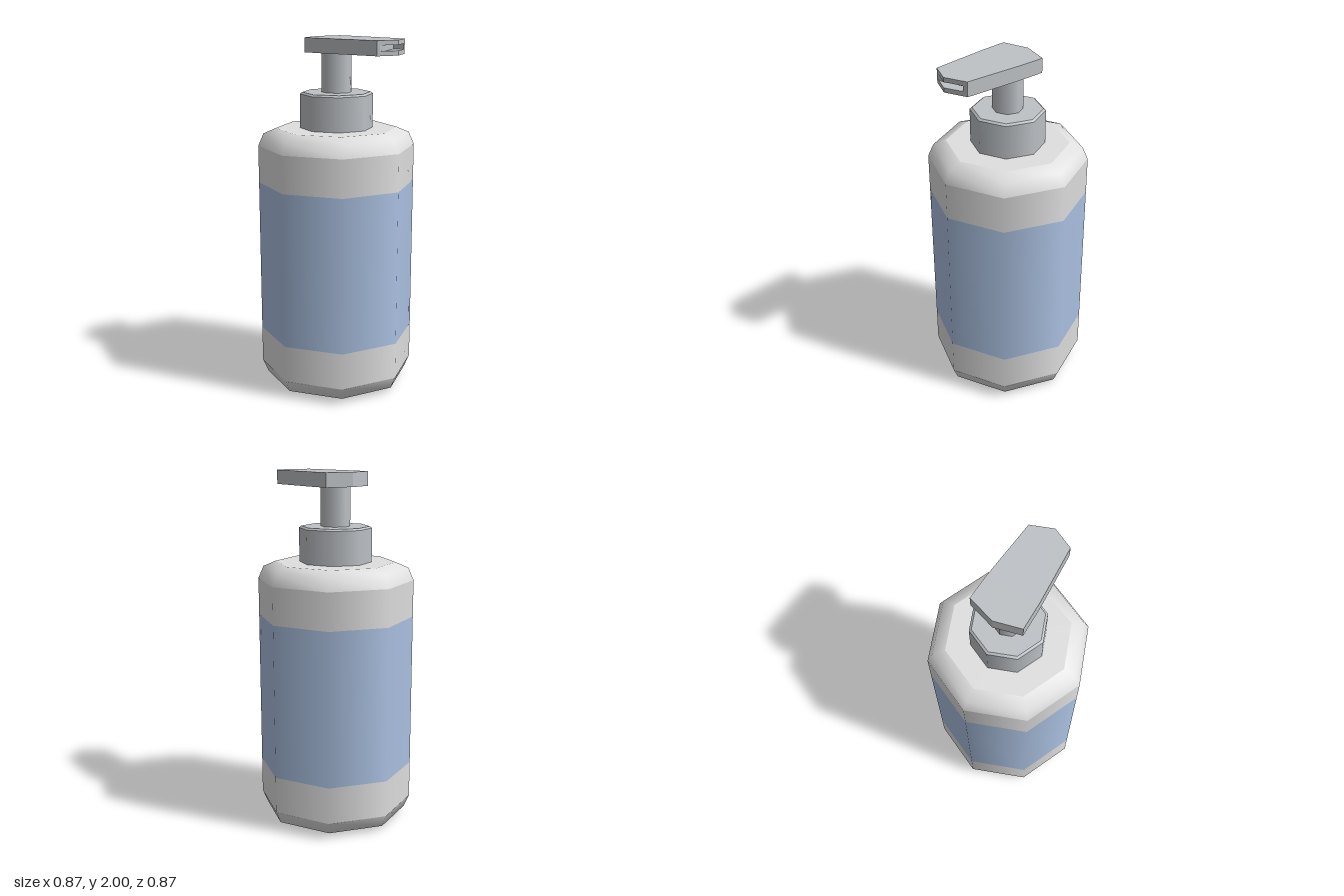
import * as THREE from 'three';

const body = new THREE.MeshStandardMaterial({ name: 'bottle white', color: 0xe0e0e0 });
const label = new THREE.MeshStandardMaterial({ name: 'label blue', color: 0xacc2e3 });
const pump = new THREE.MeshStandardMaterial({ name: 'pump grey', color: 0xbec2c6 });

const SIDES = 8;
const TURN = -0.147; // the whole bottle is turned slightly about its axis

export function createModel() {
  const model = new THREE.Group();
  model.name = 'pumpBottle';

  // Each ring is its own lathe, listed from bottom to top, so its edges stay crisp
  const ring = (name, material, ...profile) => {
    const points = profile.map(([r, y]) => new THREE.Vector2(r, y));
    const mesh = new THREE.Mesh(new THREE.LatheGeometry(points, SIDES, TURN), material);
    mesh.name = name;
    model.add(mesh);
  };

  // Bottle
  const R = 0.442;
  ring('bottleBase', body, [0, 0], [0.34, 0]);
  ring('bottleFoot', body, [0.34, 0], [0.412, 0.03], [R, 0.1]);
  ring('lowerWall', body, [R, 0.1], [R, 0.31]);
  ring('labelBand', label, [R, 0.31], [R, 1.19]);
  ring('upperWall', body, [R, 1.19], [R, 1.4]);
  ring('bottleShoulder', body, [R, 1.4], [0.412, 1.47], [0.34, 1.5]);
  ring('bottleTop', body, [0.34, 1.5], [0, 1.5]);

  // Collar and stem
  ring('collarWall', pump, [0.205, 1.5], [0.205, 1.69]);
  ring('collarBevel', pump, [0.205, 1.69], [0.192, 1.7]);
  ring('collarTop', pump, [0.192, 1.7], [0, 1.7]);
  ring('stem', pump, [0.083, 1.7], [0.083, 1.92]);

  // Pump head in three layers; the middle one is notched to form the spout slot
  const back = [[0.355, 0.17], [0.03, 0.148], [-0.125, 0.13], [-0.145, -0.02], [-0.08, -0.165], [0.06, -0.14], [0.39, -0.065]];
  const whole = [...back, [0.422, 0.063]];
  const notched = [...back, [0.396, -0.04], [0.34, -0.03], [0.372, 0.12], [0.364, 0.155]];
  const head = new THREE.Group();
  head.name = 'pumpHead';
  const layer = (name, outline, y0, y1) => {
    const shape = new THREE.Shape(outline.map(([x, z]) => new THREE.Vector2(x, -z)));
    const geometry = new THREE.ExtrudeGeometry(shape, { depth: y1 - y0, bevelEnabled: false });
    geometry.rotateX(-Math.PI / 2).translate(0, y0, 0);
    const mesh = new THREE.Mesh(geometry, pump);
    mesh.name = name;
    head.add(mesh);
  };
  layer('headBottom', whole, 1.92, 1.945);
  layer('headSpoutLayer', notched, 1.945, 1.975);
  layer('headTop', whole, 1.975, 2);
  model.add(head);

  return model;
}
